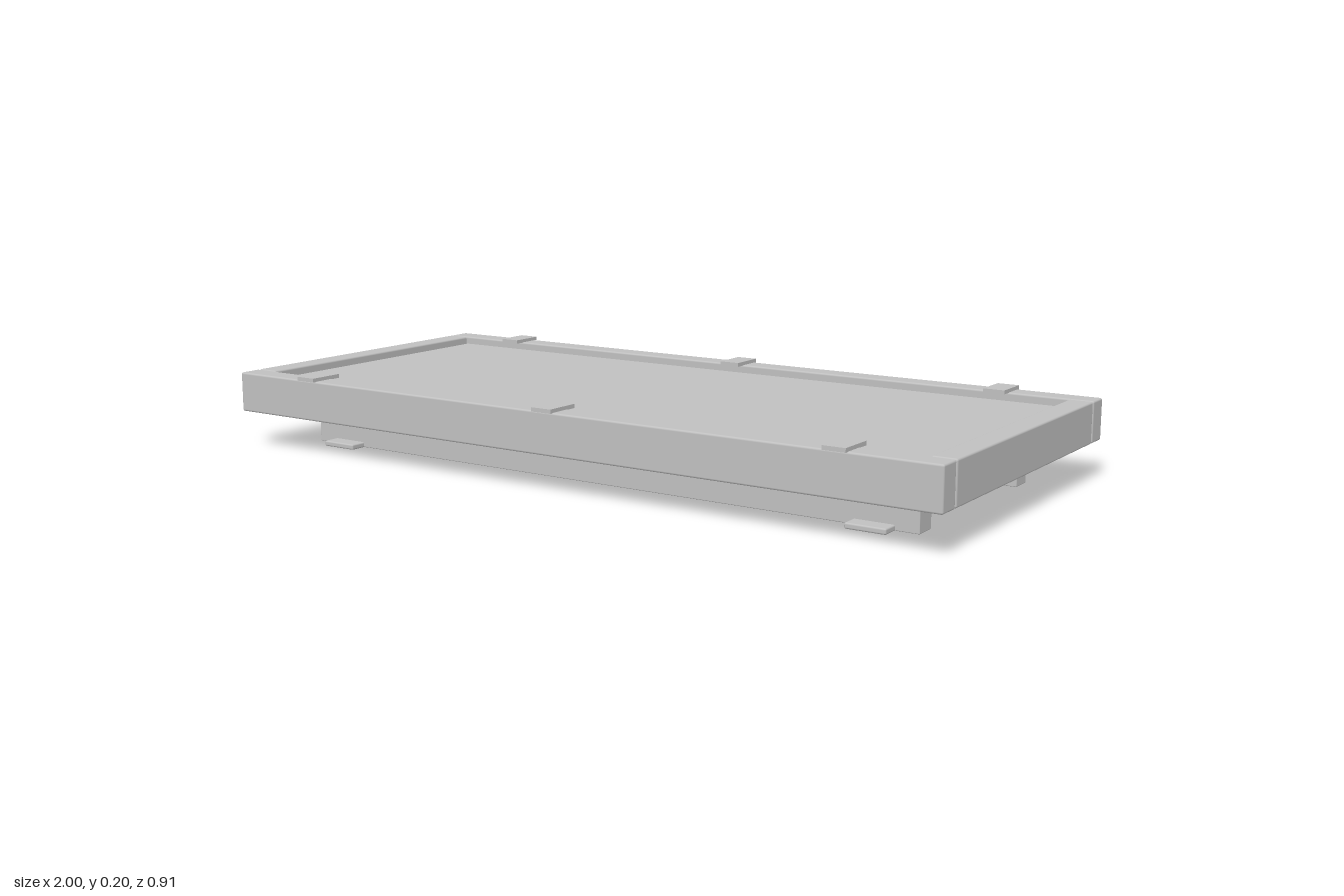
import * as THREE from 'three';
import { RoundedBoxGeometry } from 'three/addons/geometries/RoundedBoxGeometry.js';

export function createModel() {
  const model = new THREE.Group();
  model.name = 'framedPanel';
  const metal = new THREE.MeshStandardMaterial({ color: 0xc0c0c0 });
  metal.name = 'light grey metal';

  // Box given by its size, centre in x and z, and bottom height; bevel rounds the edges
  function box(name, w, h, d, x, y, z, bevel = 0) {
    const geometry = bevel
      ? new RoundedBoxGeometry(w, h, d, 2, bevel)
      : new THREE.BoxGeometry(w, h, d);
    const mesh = new THREE.Mesh(geometry, metal);
    mesh.name = name;
    mesh.position.set(x, y + h / 2, z);
    model.add(mesh);
  }

  // Recessed panel
  box('panel', 1.9, 0.077, 0.79, 0, 0.098, 0);

  for (const s of [-1, 1]) {
    // Frame
    box('longRail', 2, 0.103, 0.06, 0, 0.093, s * 0.421, 0.005);
    box('endRail', 0.06, 0.103, 0.774, s * 0.97, 0.093, 0, 0.005);

    // Clamps lapping over the long rails
    for (const x of [-0.757, 0, 0.757]) {
      box('clamp', 0.056, 0.01, 0.092, x, 0.195, s * 0.411);
    }

    // Support beam with a foot plate near each end
    box('supportBeam', 1.755, 0.098, 0.057, 0, 0.001, s * 0.2635, 0.002);
    for (const x of [-0.77, 0.77]) {
      box('footPlate', 0.1, 0.014, 0.14, x, 0, s * 0.2645, 0.004);
    }
  }
  return model;
}
